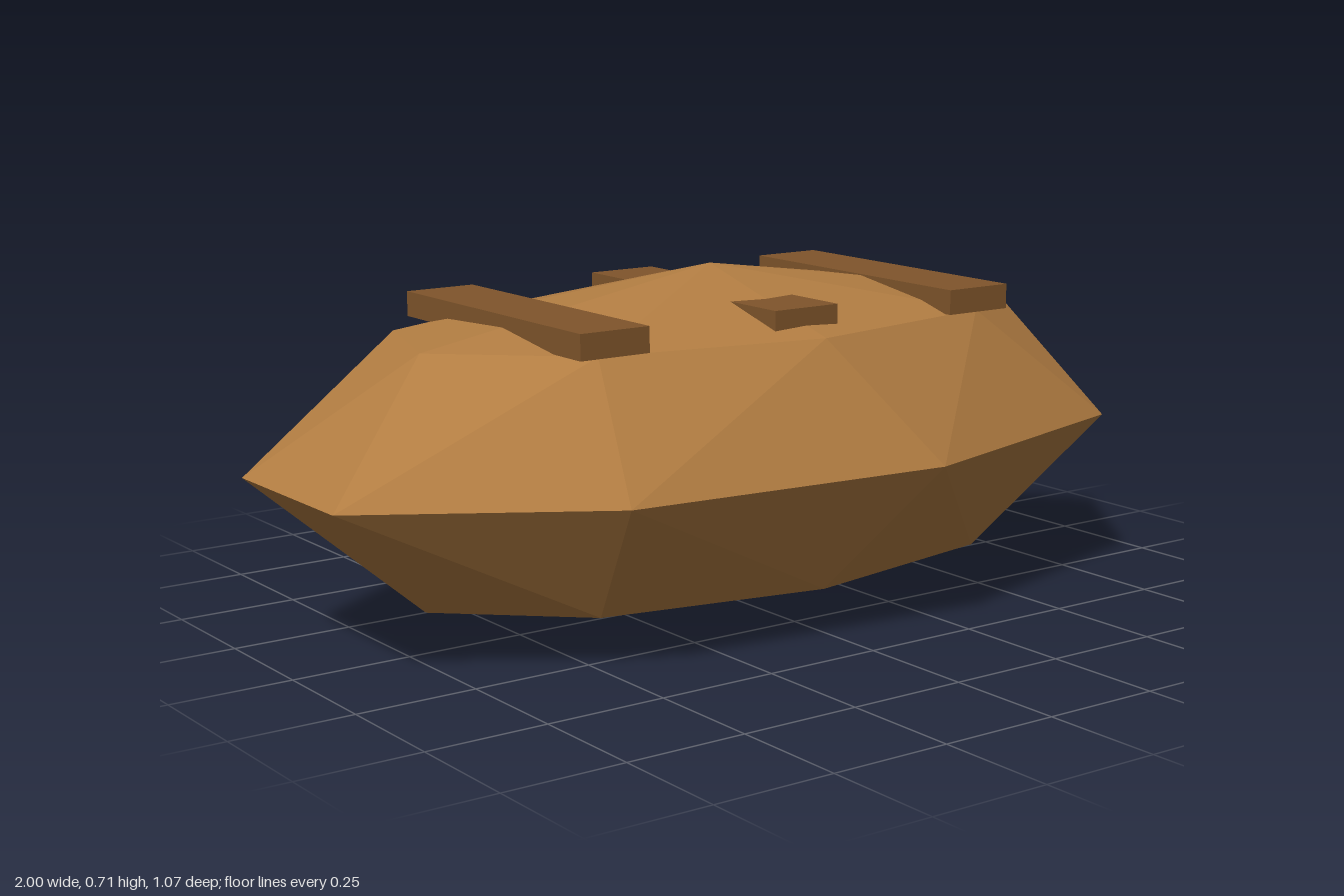
import * as THREE from 'three';

const SIDES = 9, CENTRE_X = -0.031, MID_Y = 0.355;
const RX = 1.031, RY = 0.355, RZ = 0.543;
const TWIST = THREE.MathUtils.degToRad(10); // upper and lower rings are turned against the waist

// Faceted ellipsoid built from two poles and three rings
function hullGeometry() {
  const point = (latitude, i, twist) => {
    const a = (i / SIDES) * Math.PI * 2 + twist;
    const r = Math.cos(latitude);
    return [RX * r * Math.cos(a), RY * Math.sin(latitude), RZ * r * Math.sin(a)];
  };
  const positions = [];
  const tri = (flip, a, b, c) => positions.push(...a, ...(flip ? c : b), ...(flip ? b : c));

  for (const s of [1, -1]) {
    const lat = (s * Math.PI) / 4, pole = [0, s * RY, 0], flip = s < 0;
    for (let i = 0; i < SIDES; i++) {
      const w0 = point(0, i, 0), w1 = point(0, i + 1, 0);
      const r0 = point(lat, i, TWIST), r1 = point(lat, i + 1, TWIST);
      tri(flip, pole, r1, r0); // cap
      tri(flip, r0, w1, w0);   // band, standing on the waist
      tri(flip, r0, r1, w1);   // band, hanging from the ring
    }
  }
  const g = new THREE.BufferGeometry();
  g.setAttribute('position', new THREE.Float32BufferAttribute(positions, 3));
  g.computeVertexNormals();
  return g;
}

export function createModel() {
  const group = new THREE.Group();
  group.name = 'slattedHull';

  const lightWood = new THREE.MeshStandardMaterial({ color: 0xb27d42 });
  lightWood.name = 'light wood';
  const darkWood = new THREE.MeshStandardMaterial({ color: 0x80552b });
  darkWood.name = 'dark wood';
  lightWood.flatShading = true;

  const hull = new THREE.Mesh(hullGeometry(), lightWood);
  hull.name = 'hull';
  hull.position.set(CENTRE_X, MID_Y, 0);
  group.add(hull);

  // Three equal slats across the top; the middle one sinks into the crown
  const slatGeometry = new THREE.BoxGeometry(0.154, 0.051, 0.645);
  ['rightSlat', 'middleSlat', 'leftSlat'].forEach((name, i) => {
    const slat = new THREE.Mesh(slatGeometry, darkWood);
    slat.name = name;
    slat.position.set(CENTRE_X + (i - 1) * 0.449, 0.633, 0);
    group.add(slat);
  });

  return group;
}
